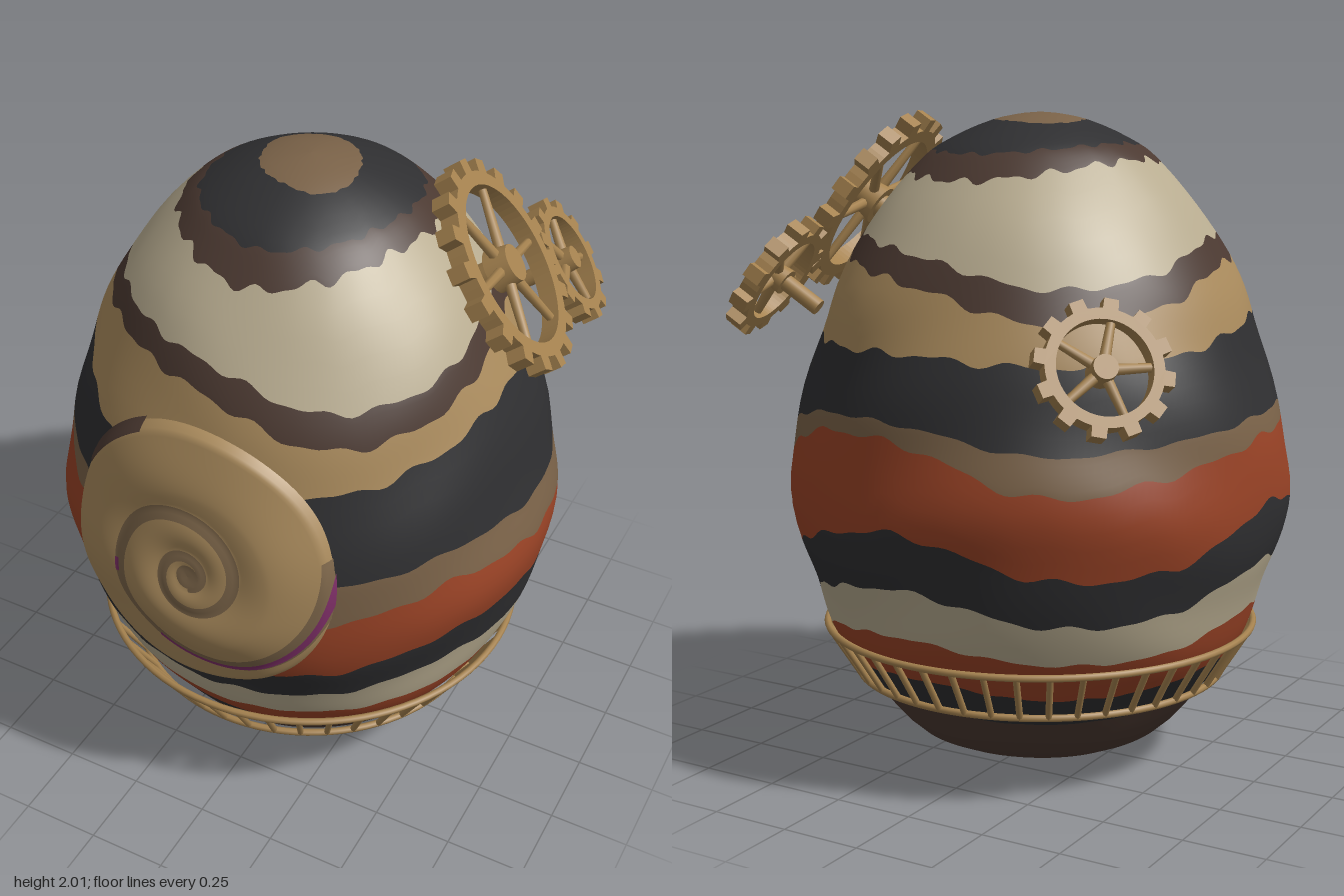
import * as THREE from 'three';

const paint = (name, color, side = THREE.FrontSide) => {
  const m = new THREE.MeshStandardMaterial({ color, side });
  m.name = name;
  return m;
};

// Egg outline as (radius, height), from bottom to top
const outline = new THREE.SplineCurve([
  [0, 0], [0.16, 0.007], [0.23, 0.022], [0.3, 0.045], [0.385, 0.08], [0.46, 0.145], [0.555, 0.27], [0.655, 0.42],
  [0.72, 0.6], [0.763, 0.75], [0.78, 0.9], [0.745, 1.1], [0.69, 1.3], [0.615, 1.5], [0.5, 1.7],
  [0.36, 1.86], [0.265, 1.925], [0.15, 1.975], [0.06, 1.995], [0, 2],
].map(([r, y]) => new THREE.Vector2(r, y))).getPoints(400);

function radiusAt(y) {
  let i = 1;
  while (i < outline.length - 1 && outline[i].y < y) i++;
  const a = outline[i - 1], b = outline[i];
  const t = THREE.MathUtils.clamp((y - a.y) / (b.y - a.y || 1), 0, 1);
  return a.x + (b.x - a.x) * t;
}

// Point of the egg at a turn angle (0 = front) and height, slightly lumpy
function eggPoint(angle, y) {
  const lump = 1 + 0.006 * Math.sin(17 * y + 2 * Math.sin(3 * angle)) + 0.004 * Math.sin(5 * angle + 9 * y);
  const r = radiusAt(y) * lump;
  const c = Math.cos(angle);
  return [r * Math.sin(angle), y, r * c * (c > 0 ? 1 - 0.035 * c : 1)];
}

// Surface from a rule fn(u index, v index); u x v points outwards
function grid(nu, nv, fn, wrapU = false, wrapV = false) {
  const cu = wrapU ? nu : nu + 1, cv = wrapV ? nv : nv + 1;
  const pos = [], idx = [];
  for (let j = 0; j < cv; j++) for (let i = 0; i < cu; i++) pos.push(...fn(i, j));
  const id = (i, j) => (j % cv) * cu + (i % cu);
  for (let j = 0; j < nv; j++) for (let i = 0; i < nu; i++) {
    const a = id(i, j), b = id(i + 1, j), c = id(i + 1, j + 1), d = id(i, j + 1);
    idx.push(a, b, c, a, c, d);
  }
  const g = new THREE.BufferGeometry();
  g.setAttribute('position', new THREE.Float32BufferAttribute(pos, 3));
  g.setIndex(idx);
  g.computeVertexNormals();
  return g;
}

// Rise and fall of the layer borders, in hundredths, every 30 degrees from the front
const lowWave = [-9, -6, 3, 3, -8, 2, 8, -2, -1, 11, 5, -4];
const midWave = [-5, -10, -2, -5, -6, 8, 8, -4, 0, 7, 8, 1];
const shoulderWave = [-1, -4, 2, 9, 0, -2, -2, -4, -3, 3, 7, -3];
const highWave = [0, -9, -6, 3, 5, 2, -3, -11, -8, 2, 4, 3];
const crownWave = [-4, -1, 2, 2, 0, -2, -3, -1, 2, 3, 1, -1];

function waveAt(wave, angle) {
  const n = wave.length, f = angle / (2 * Math.PI) * n, i = Math.floor(f), t = f - i;
  const [p, a, b, q] = [-1, 0, 1, 2].map((d) => wave[(i + d + n) % n] / 100);
  return a + 0.5 * t * (b - p + t * (2 * p - 5 * a + 4 * b - q + t * (3 * (a - b) + q - p)));
}

// Border heights at one angle, from the bottom up; each layer gives [material, top, wave, strength]
function borderHeights(layers, angle) {
  const out = [0];
  layers.forEach(([, top, wave, strength], k) => {
    let y = top;
    if (wave) {
      const jitter = 0.008 * Math.sin(19 * angle + k) + 0.005 * Math.sin(31 * angle + 2 * k);
      y += strength * waveAt(wave, angle) + jitter * Math.min(1, strength);
    }
    out.push(Math.min(2, Math.max(y, out[k] + 0.008)));
  });
  return out;
}

// Coiled shell on the front: lifted from the egg, with whorls swelling between the grooves
const coilY = 1.01, growth = Math.log(2.7) / (2 * Math.PI);
const coilRadius = (a) => 0.41 * Math.exp(growth * a);
const rimRadius = (a) => 0.445 - 0.02 * Math.cos(a);
function shellPoint(rho, a, lift = 0) {
  const x = rho * Math.cos(a), y = coilY + rho * Math.sin(a);
  const p = eggPoint(Math.asin(THREE.MathUtils.clamp(x / radiusAt(y), -1, 1)), y);
  const turn = Math.log(Math.max(rho, 0.03) / 0.41) / (growth * 2 * Math.PI) - a / (2 * Math.PI);
  const swell = Math.sin(Math.PI * (turn - Math.floor(turn))) * Math.min(0.02, rho * 0.08);
  const edge = THREE.MathUtils.smoothstep(rho, rimRadius(a) - 0.035, rimRadius(a));
  return [x, y, p[2] + (0.014 + swell) * (1 - edge) - 0.035 * edge * edge + lift];
}

// Thin painted strip on the shell from angle a0 to a1
const strip = (a0, a1, radius, width, lift) => {
  const n = Math.ceil((a1 - a0) * 28);
  return grid(4, n, (i, j) => {
    const a = a0 + (a1 - a0) * j / n, rho = radius(a);
    return shellPoint(rho + (i / 4 - 0.5) * width(rho), a, lift);
  });
};

function makeGear(name, material, { teeth, tip, root, inner, spokes, hub, shaft }) {
  const gear = new THREE.Group();
  gear.name = name;
  const part = (partName, geometry) => {
    const m = new THREE.Mesh(geometry, material);
    m.name = partName;
    gear.add(m);
  };
  const points = [];
  for (let i = 0; i < teeth; i++) {
    for (const [f, r] of [[0, root], [0.25, root], [0.5, root], [0.55, tip], [0.95, tip]]) {
      const a = (i + f) / teeth * 2 * Math.PI;
      points.push(new THREE.Vector2(r * Math.cos(a), r * Math.sin(a)));
    }
  }
  const shape = new THREE.Shape(points);
  shape.holes.push(new THREE.Path().absarc(0, 0, inner, 0, 2 * Math.PI, true));
  part('toothedRim', new THREE.ExtrudeGeometry(shape, { depth: 0.055, bevelEnabled: false, curveSegments: 36 })
    .translate(0, 0, -0.0275));
  const reach = inner + 0.01;
  for (let i = 0; i < spokes; i++) {
    part('spoke', new THREE.CylinderGeometry(0.013, 0.018, reach, 8).translate(0, reach / 2, 0)
      .rotateZ(i * 2 * Math.PI / spokes));
  }
  part('hub', new THREE.CylinderGeometry(hub * 0.85, hub, 0.07, 24).rotateX(Math.PI / 2));
  part('shaft', new THREE.CylinderGeometry(hub * 0.6, hub * 0.6, shaft, 16).rotateX(Math.PI / 2).translate(0, 0, -shaft / 2));
  return gear;
}

export function createModel() {
  const model = new THREE.Group();
  const add = (name, geometry, material, parent = model) => {
    const m = new THREE.Mesh(geometry, material);
    m.name = name;
    parent.add(m);
    return m;
  };
  const charcoal = paint('charcoal', 0x2f2f31), darkBrown = paint('dark brown', 0x4b3931);
  const brown = paint('brown', 0x7a6248), tan = paint('tan', 0xa98a5c);
  const cream = paint('cream', 0xb8ac90), rust = paint('rust', 0x9a4326);
  const brass = paint('brass', 0xa5824f);
  const groove = paint('groove brown', 0x7d664a, THREE.DoubleSide);
  const magenta = paint('magenta', 0x7d2e66, THREE.DoubleSide);

  // Layered egg, one material group per layer
  const layers = [
    [darkBrown, 0.014], [tan, 0.05], [darkBrown, 0.247, highWave, 0.1], [charcoal, 0.337, lowWave, 0.35],
    [rust, 0.467, lowWave, 0.5], [cream, 0.597, lowWave, 0.8], [charcoal, 0.747, lowWave, 1.1],
    [rust, 1, midWave, 1], [brown, 1.09, midWave, 0.55], [charcoal, 1.344, shoulderWave, 1],
    [tan, 1.526, highWave, 1], [darkBrown, 1.603, highWave, 0.85], [cream, 1.828, crownWave, 1],
    [darkBrown, 1.89, crownWave, 0.5], [charcoal, 1.973, highWave, 0.09], [brown, 2],
  ];
  const around = 200, rows = 5, heights = [];
  for (let i = 0; i < around; i++) heights.push(borderHeights(layers, i / around * 2 * Math.PI));
  const egg = grid(around, layers.length * rows, (i, j) => {
    const k = Math.min(Math.floor(j / rows), layers.length - 1);
    let t = j / rows - k;
    if (k === 0) t *= t;
    if (k === layers.length - 1) t = 1 - (1 - t) ** 2;
    const h = heights[i];
    return eggPoint(i / around * 2 * Math.PI, h[k] + (h[k + 1] - h[k]) * t);
  }, true);
  const perLayer = around * rows * 6;
  layers.forEach((layer, k) => egg.addGroup(k * perLayer, perLayer, k));
  add('layeredEgg', egg, layers.map(([material]) => material));

  // Coiled shell with its spiral groove and coloured seam
  const shell = new THREE.Group();
  shell.name = 'coiledShell';
  model.add(shell);
  const disc = (radius, nu, nv, lift) => grid(nu, nv, (i, j) => {
    const a = j / nv * 2 * Math.PI;
    return shellPoint(i / nu * radius(a), a, lift);
  }, false, true);
  add('shellBody', disc(rimRadius, 50, 140, 0), tan, shell);
  add('spiralGroove', strip(-14, 0.3, (a) => coilRadius(a) - 0.012, (r) => 0.028 + 0.06 * r, 0.005), groove, shell);
  add('spiralCentre', disc(() => 0.036, 4, 24, 0.005), groove, shell);
  add('groovedSeam', strip(-1.95, 0.44, (a) => coilRadius(a) - 0.002, () => 0.018, 0.009), magenta, shell);
  add('seamFleck', strip(-2.97 - 2 * Math.PI + 2 * Math.PI, -2.8, (a) => coilRadius(a), () => 0.016, 0.009), magenta, shell);
  add('shellCrease', strip(2.05, 2.65, () => 0.44, () => 0.026, 0.02), darkBrown, shell);

  // Flared railing round the base
  const railing = new THREE.Group();
  railing.name = 'railing';
  model.add(railing);
  for (const [name, r, y] of [['topRail', 0.676, 0.422], ['bottomRail', 0.582, 0.272]]) {
    add(name, new THREE.TorusGeometry(r, 0.011, 8, 96).rotateX(Math.PI / 2).translate(0, y, 0), brass, railing);
  }
  const post = new THREE.CylinderGeometry(0.01, 0.01, 0.177, 8).rotateZ(-Math.atan2(0.094, 0.15)).translate(0.629, 0.347, 0);
  for (let i = 0; i < 44; i++) add('post', post, brass, railing).rotation.y = i / 44 * 2 * Math.PI;

  // Gears: a large and a small one side by side, another small one behind
  const small = { teeth: 12, tip: 0.2, root: 0.17, inner: 0.138, spokes: 5, hub: 0.042, shaft: 0.16 };
  const large = { teeth: 18, tip: 0.322, root: 0.282, inner: 0.24, spokes: 6, hub: 0.065, shaft: 0.2 };
  for (const [name, spec, at, facing] of [
    ['largeGear', large, [0.56, 1.73, -0.105], [0.78, 0.58, -0.2]],
    ['smallGear', small, [0.59, 1.515, -0.55], [0.78, 0.58, -0.22]],
    ['backGear', small, [-0.5, 1.3, -0.52], [-0.65, 0.42, -0.63]],
  ]) {
    const gear = makeGear(name, brass, spec);
    gear.position.set(...at);
    gear.quaternion.setFromUnitVectors(new THREE.Vector3(0, 0, 1), new THREE.Vector3(...facing).normalize());
    model.add(gear);
  }
  return model;
}
